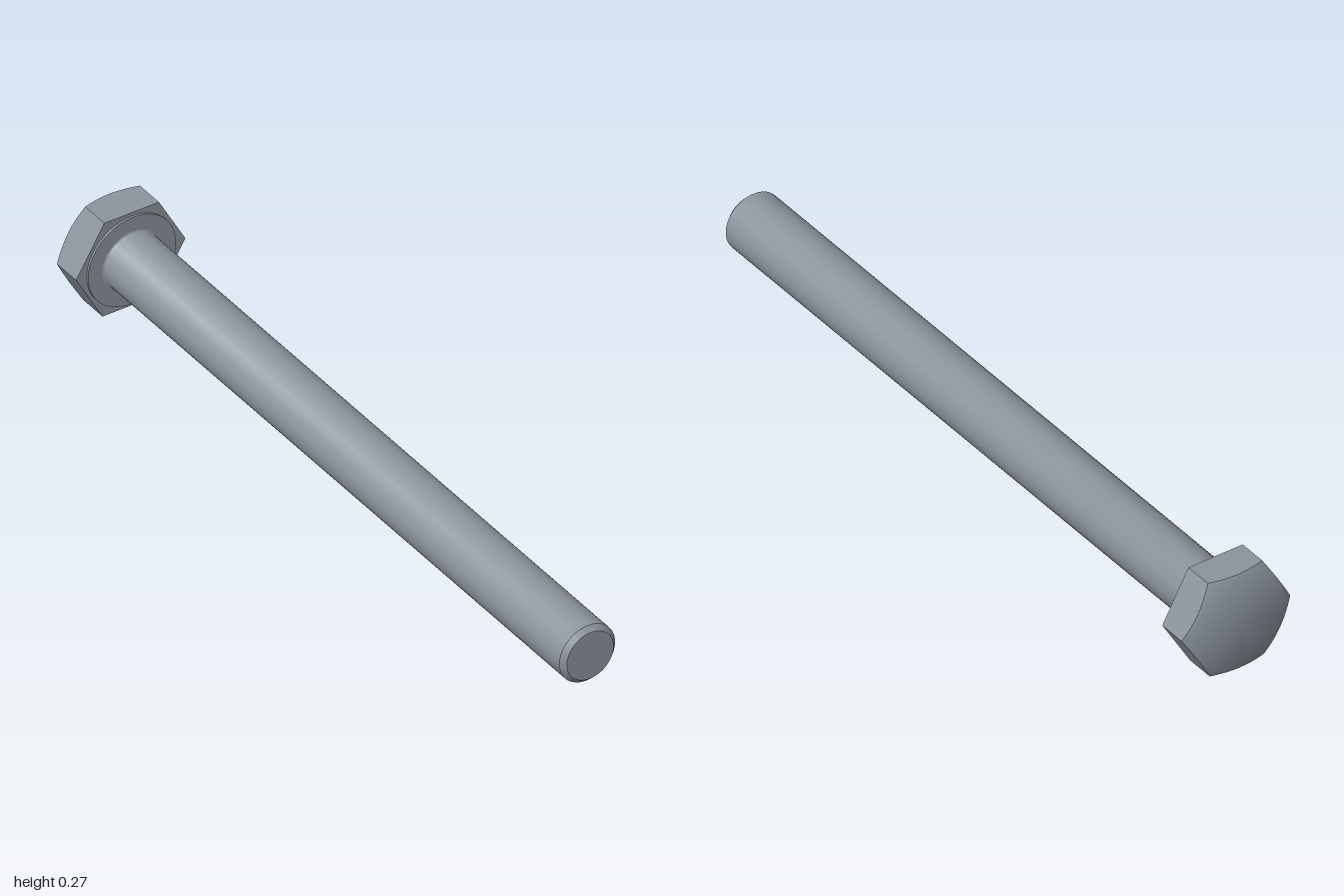
import * as THREE from 'three';
import { toCreasedNormals } from 'three/addons/utils/BufferGeometryUtils.js';

const SEGMENTS = 48;
const LENGTH = 1.905;      // shank, from bearing face to tip
const SHANK_R = 0.0794;
const HEAD_H = 0.1016;
const APOTHEM = 0.135;     // half of the width across flats
const WASHER_R = 0.1255;
const WASHER_H = 0.006;

const CREASE = 0.6;
const lathe = (pts) =>
  new THREE.LatheGeometry(pts.map(([r, y]) => new THREE.Vector2(r, y)), SEGMENTS);

// Hexagonal prism whose outer face is rounded off by a 30 degree cone
function headGeometry() {
  const capR = 0.1285;
  const geo = lathe([[0, -HEAD_H], [capR, -HEAD_H], [APOTHEM, -0.09], [APOTHEM, -WASHER_H], [0, -WASHER_H]]);
  const pos = geo.attributes.position;
  for (let i = 0; i < pos.count; i++) {
    const ring = i % 5;
    if (ring !== 2 && ring !== 3) continue;
    const a = (Math.floor(i / 5) / SEGMENTS) * Math.PI * 2;
    const local = (a % (Math.PI / 3)) - Math.PI / 6;
    const r = APOTHEM / Math.cos(local);
    const y = ring === 2 ? -HEAD_H + (r - capR) * Math.tan(Math.PI / 6) : -WASHER_H;
    pos.setXYZ(i, r * Math.sin(a), y, r * Math.cos(a));
  }
  return geo;
}

// Round shank with a small fillet under the head and a chamfered tip
function shankGeometry() {
  const f = 0.006, chamfer = 0.0127;
  const pts = [];
  for (let i = 0; i <= 4; i++) {
    const t = (i / 4) * Math.PI / 2;
    pts.push([SHANK_R + f * (1 - Math.sin(t)), f * (1 - Math.cos(t))]);
  }
  pts.push([SHANK_R, LENGTH - chamfer], [SHANK_R - chamfer, LENGTH], [0, LENGTH]);
  return lathe(pts);
}

export function createModel() {
  const steel = new THREE.MeshStandardMaterial({ color: 0x8c949e });
  steel.name = 'steel';

  const bolt = new THREE.Group();
  bolt.name = 'hexBolt';
  const add = (name, geo) => {
    const mesh = new THREE.Mesh(toCreasedNormals(geo, CREASE), steel);
    mesh.name = name;
    bolt.add(mesh);
  };
  add('head', headGeometry());
  add('washerFace', lathe([[WASHER_R, -WASHER_H - 0.001], [WASHER_R, 0], [SHANK_R, 0]]));
  add('shank', shankGeometry());

  // Lay the bolt along its slanted axis, with two flats facing up and down
  const axis = new THREE.Vector3(1, -0.029, 0.212).normalize();
  const corner = new THREE.Vector3(-0.212, 0, 1).normalize();
  const side = new THREE.Vector3().crossVectors(axis, corner);
  bolt.quaternion.setFromRotationMatrix(new THREE.Matrix4().makeBasis(side, axis, corner));
  bolt.position.set(-0.876, 0.1347, -0.149);

  const model = new THREE.Group();
  model.name = 'model';
  model.add(bolt);
  return model;
}
